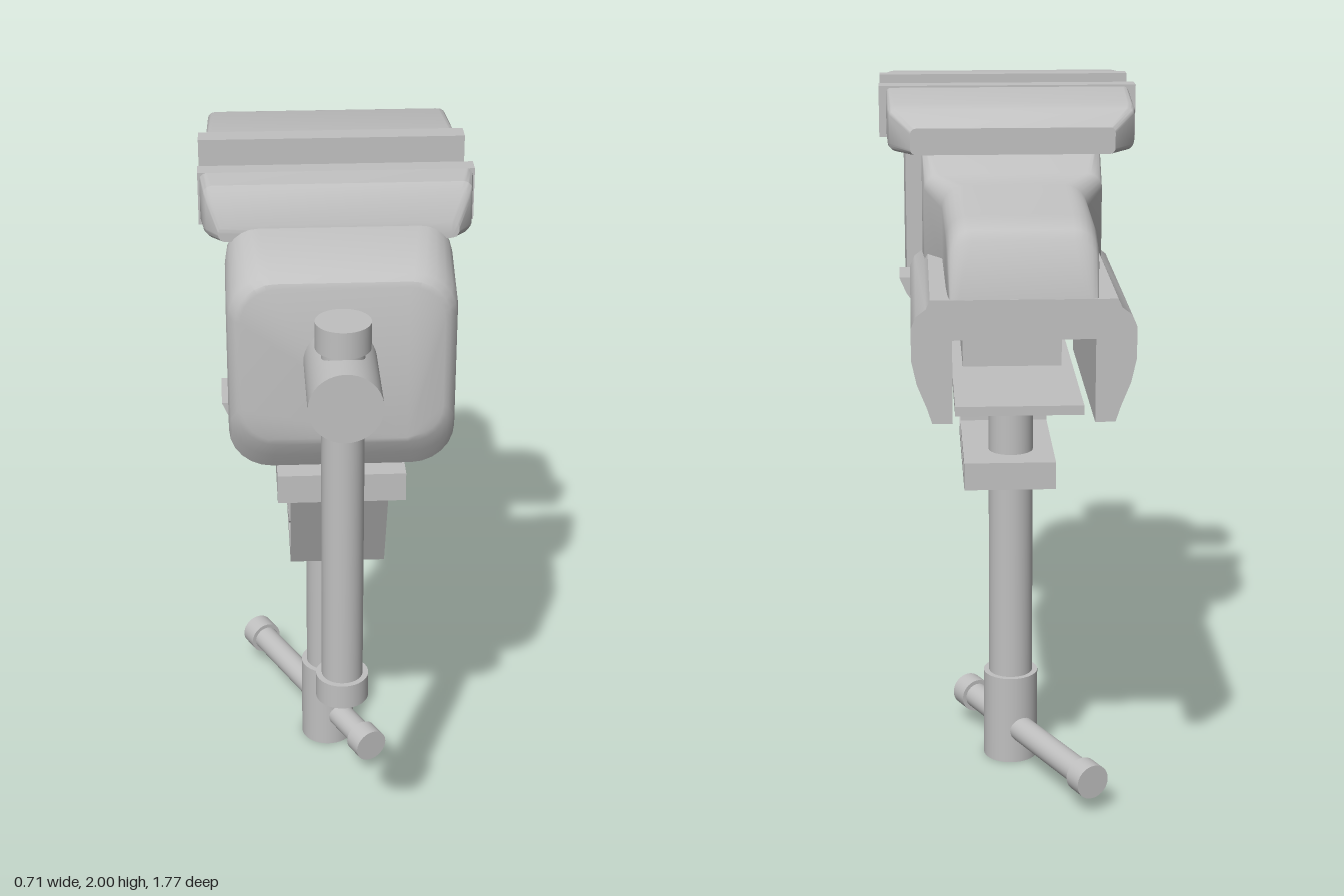
import * as THREE from 'three';
import { toCreasedNormals } from 'three/addons/utils/BufferGeometryUtils.js';

const steel = new THREE.MeshStandardMaterial({ color: 0xc0c0c0 });
steel.name = 'steel grey';

function add(parent, name, geometry, x = 0, y = 0, z = 0) {
  const mesh = new THREE.Mesh(geometry, steel);
  mesh.name = name;
  mesh.position.set(x, y, z);
  parent.add(mesh);
  return mesh;
}

// Rounded rectangle outline, counter-clockwise seen from +z
function ring([z, w, y0, y1, r]) {
  const pts = [];
  const corners = [[w - r, y0 + r, -90], [w - r, y1 - r, 0], [r - w, y1 - r, 90], [r - w, y0 + r, 180]];
  for (const [cx, cy, start] of corners) {
    for (let i = 0; i <= 6; i++) {
      const a = (start + i * 15) * Math.PI / 180;
      pts.push([cx + r * Math.cos(a), cy + r * Math.sin(a), z]);
    }
  }
  return pts;
}

// Skin through sections [z, halfWidth, bottom, top, cornerRadius], listed from front to back
function loft(sections, crease = 0.6) {
  const rings = sections.map(ring);
  const n = rings[0].length;
  const index = [];
  for (let s = 0; s < rings.length - 1; s++) {
    for (let i = 0; i < n; i++) {
      const a = s * n + i, b = s * n + (i + 1) % n;
      index.push(a, a + n, b, b, a + n, b + n);
    }
  }
  const last = (rings.length - 1) * n;
  for (let i = 1; i < n - 1; i++) {
    index.push(0, i, i + 1, last, last + i + 1, last + i);
  }
  const g = new THREE.BufferGeometry();
  g.setAttribute('position', new THREE.Float32BufferAttribute(rings.flat(2), 3));
  g.setIndex(index);
  return toCreasedNormals(g, crease);
}

const shapeOf = (pts) => new THREE.Shape(pts.map(([a, b]) => new THREE.Vector2(a, b)));

// Section in x, y extruded between two z positions
function alongZ(shape, z0, z1) {
  const g = new THREE.ExtrudeGeometry(shape, { depth: z1 - z0, bevelEnabled: false });
  g.translate(0, 0, z0);
  return toCreasedNormals(g, 0.6);
}

// Side profile in z, y extruded symmetrically across x
function acrossX(shape, halfWidth) {
  const g = new THREE.ExtrudeGeometry(shape, { depth: halfWidth * 2, bevelEnabled: false });
  g.translate(0, 0, -halfWidth);
  return g.rotateY(-Math.PI / 2);
}

// Mirrors a half outline across x = 0
const mirrored = (half) => shapeOf([...half, ...half.slice().reverse().map(([x, y]) => [-x, y])]);

const rod = (r, length) => new THREE.CylinderGeometry(r, r, length, 40);
const box = (x, y, z) => new THREE.BoxGeometry(x, y, z);

// Bar with a larger cap on each end, along y
function cappedBar(name, r, capR, length, capLength) {
  const g = new THREE.Group();
  g.name = name;
  add(g, 'bar', rod(r, length - capLength));
  for (const s of [-1, 1]) add(g, 'endCap', rod(capR, capLength), 0, s * (length - capLength) / 2, 0);
  return g;
}

export function createModel() {
  const model = new THREE.Group();
  model.name = 'benchVise';
  const cx = -0.008;

  // Moving front jaw
  const front = new THREE.Group();
  front.name = 'frontJaw';
  model.add(front);
  add(front, 'frontJawBody', loft([
    [0.61, 0.255, 1.40, 1.82, 0.09],
    [0.605, 0.268, 1.385, 1.833, 0.1],
    [0.585, 0.285, 1.345, 1.845, 0.11],
    [0.56, 0.29, 1.30, 1.86, 0.11],
    [0.42, 0.29, 1.30, 1.90, 0.09],
    [0.392, 0.285, 1.30, 1.90, 0.07],
  ]));
  add(front, 'frontJawFoot', alongZ(mirrored([
    [0.22, 1.30], [0.262, 1.318], [0.287, 1.352], [0.308, 1.40],
  ]), 0.25, 0.395));
  add(front, 'frontJawHead', loft([
    [0.412, 0.305, 1.865, 1.908, 0.02],
    [0.372, 0.335, 1.86, 1.975, 0.025],
    [0.355, 0.342, 1.86, 1.995, 0.025],
    [0.28, 0.35, 1.86, 2.0, 0.02],
  ]));
  add(front, 'frontJawPlate', box(0.71, 0.14, 0.05), 0, 1.93, 0.255);

  // Fixed rear jaw
  const rear = new THREE.Group();
  rear.name = 'rearJaw';
  model.add(rear);
  add(rear, 'rearJawPlate', box(0.71, 0.14, 0.06), 0, 1.93, 0.01);
  add(rear, 'rearJawHead', loft([
    [-0.02, 0.335, 1.86, 1.995, 0.015],
    [-0.235, 0.33, 1.86, 1.98, 0.02],
    [-0.265, 0.325, 1.86, 1.97, 0.02],
    [-0.335, 0.27, 1.86, 1.93, 0.015],
  ]));
  add(rear, 'rearJawBack', loft([
    [-0.181, 0.24, 1.52, 1.87, 0.02],
    [-0.22, 0.24, 1.52, 1.86, 0.02],
    [-0.34, 0.235, 1.52, 1.81, 0.04],
    [-0.41, 0.19, 1.52, 1.793, 0.06],
    [-0.74, 0.187, 1.52, 1.78, 0.06],
    [-0.82, 0.185, 1.52, 1.757, 0.06],
    [-0.84, 0.184, 1.52, 1.735, 0.06],
    [-0.884, 0.18, 1.52, 1.605, 0.03],
  ], 0.9));

  // Rear housing: a channel open underneath, with shouldered sides
  add(rear, 'slideHousing', alongZ(mirrored([
    [0.175, 1.50], [0.175, 1.29], [0.225, 1.29], [0.238, 1.33], [0.262, 1.39], [0.275, 1.45],
    [0.275, 1.53], [0.262, 1.56], [0.238, 1.578], [0.228, 1.60],
  ]), -0.885, -0.18));

  // Slide bar
  const slide = new THREE.Group();
  slide.name = 'slide';
  model.add(slide);
  add(slide, 'slideCore', box(0.27, 0.12, 0.55), 0, 1.325, -0.025);
  add(slide, 'slideTop', box(0.33, 0.02, 0.55), 0, 1.39, -0.025);
  add(slide, 'slideBottom', box(0.33, 0.025, 0.93), 0, 1.2625, -0.225);

  // Main screw, hub and handle
  const screw = new THREE.Group();
  screw.name = 'mainScrew';
  model.add(screw);
  for (const [name, r, z0, z1] of [['screwShaft', 0.08, -0.25, 0.635], ['screwHub', 0.092, 0.625, 0.885]]) {
    add(screw, name, rod(r, z1 - z0), cx, 1.63, (z0 + z1) / 2).rotation.x = Math.PI / 2;
  }
  const handle = cappedBar('handle', 0.054, 0.069, 1.09, 0.07);
  handle.position.set(cx, 1.255, 0.753);
  screw.add(handle);

  // Table clamp bracket with recessed sides
  const clamp = new THREE.Group();
  clamp.name = 'tableClamp';
  model.add(clamp);
  add(clamp, 'clampTop', box(0.335, 0.08, 0.335), 0, 1.235, 0.408);
  const outline = [
    [0.24, 1.20], [0.235, 0.96], [-0.187, 0.96], [-0.187, 0.88], [0.36, 0.88], [0.50, 1.20],
  ];
  const recess = [
    [0.46, 1.195], [0.337, 0.912], [-0.155, 0.912], [-0.155, 0.93], [0.235, 0.932], [0.258, 0.95], [0.27, 1.195],
  ];
  const rim = shapeOf(outline);
  rim.holes.push(shapeOf(recess));
  add(clamp, 'clampRim', acrossX(rim, 0.13));
  add(clamp, 'clampWeb', acrossX(shapeOf(recess), 0.085));

  // Clamp screw, pressure pad and cross handle
  const spindle = new THREE.Group();
  spindle.name = 'clampScrew';
  spindle.position.set(cx, 0, -0.05);
  model.add(spindle);
  add(spindle, 'spindle', rod(0.064, 0.88), 0, 0.69, 0);
  add(spindle, 'spindleHub', rod(0.08, 0.27), 0, 0.135, 0);
  add(spindle, 'pressurePad', new THREE.LatheGeometry([
    [0, 1.104], [0.152, 1.104], [0.11, 1.122], [0.062, 1.132], [0, 1.132],
  ].map(([r, y]) => new THREE.Vector2(r, y)), 40));
  const cross = cappedBar('crossHandle', 0.038, 0.05, 0.735, 0.06);
  cross.rotation.set(Math.PI / 2, 27 * Math.PI / 180, 0, 'YXZ');
  cross.position.set(-0.045, 0.102, -0.094);
  spindle.add(cross);

  return model;
}
